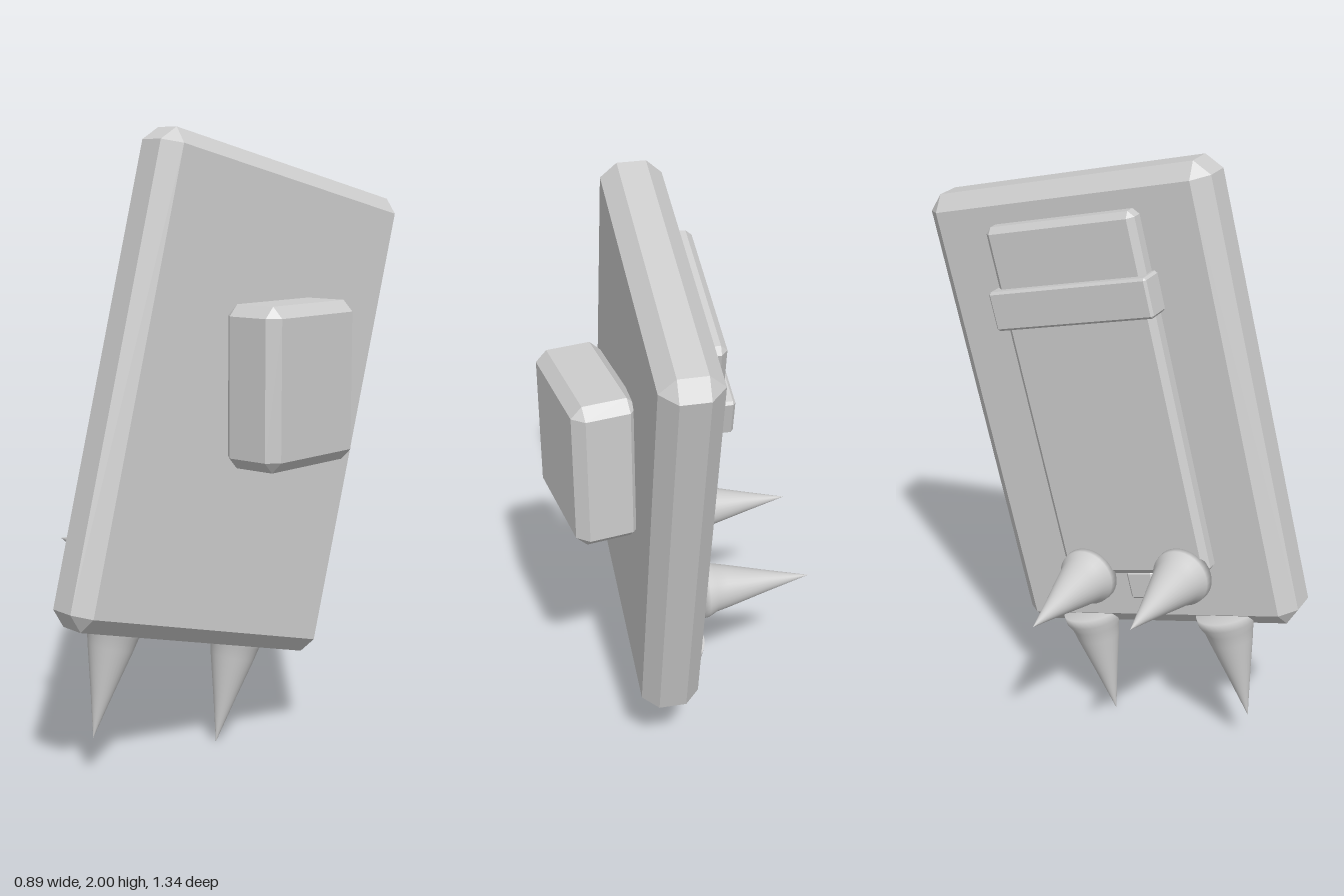
import * as THREE from 'three';
import { ConvexGeometry } from 'three/addons/geometries/ConvexGeometry.js';

const grey = new THREE.MeshStandardMaterial({ color: 0xcccccc });
grey.name = 'plain grey';

// Box with every edge cut by a chamfer c
function chamferBox(w, h, d, c) {
  const pts = [];
  for (const sx of [-1, 1]) for (const sy of [-1, 1]) for (const sz of [-1, 1]) {
    for (let axis = 0; axis < 3; axis++) {
      const k = [c, c, c];
      k[axis] = 0;
      pts.push(new THREE.Vector3(sx * (w / 2 - k[0]), sy * (h / 2 - k[1]), sz * (d / 2 - k[2])));
    }
  }
  return new ConvexGeometry(pts);
}

function add(parent, name, geometry, x, y, z) {
  const mesh = new THREE.Mesh(geometry, grey);
  mesh.name = name;
  mesh.position.set(x, y, z);
  parent.add(mesh);
  return mesh;
}

// Spike with its tip at the origin and a flared base at y = 0.39
function spikeGeometry() {
  const profile = [[0, 0], [0.037, 0.15], [0.073, 0.29], [0.082, 0.33], [0.097, 0.36], [0.1, 0.39], [0, 0.39]];
  return new THREE.LatheGeometry(profile.map(([r, y]) => new THREE.Vector2(r, y)), 32);
}

export function createModel() {
  const model = new THREE.Group();
  model.name = 'spikedSlab';

  // Tilted body: local x is the thickness, y the height, z the width
  const body = new THREE.Group();
  body.name = 'body';
  body.position.set(0.125, 1.145, 0);
  body.rotation.set(THREE.MathUtils.degToRad(-14), THREE.MathUtils.degToRad(-9.2), 0, 'YXZ');
  model.add(body);

  add(body, 'slab', chamferBox(0.19, 1.54, 1.025, 0.05), 0, 0, 0);

  // Raised panel with its cross band and bottom tab
  add(body, 'panel', chamferBox(0.1, 1.21, 0.54, 0.02), -0.1, 0.055, 0.005);
  add(body, 'band', chamferBox(0.1, 0.13, 0.575, 0.008), -0.13, 0.395, 0.005);
  add(body, 'tab', chamferBox(0.06, 0.1, 0.1, 0.008), -0.095, -0.6, 0);

  // Mirrored pairs of spikes: two below, two on the panel side
  const spike = spikeGeometry();
  for (const s of [-1, 1]) {
    add(body, 'legSpike', spike, -0.06, -1.113, s * 0.257);
    const arm = add(body, 'armSpike', spike, -0.53, -0.55, s * 0.178);
    arm.rotation.z = -Math.PI / 2;
  }

  // Upright block beside the slab
  add(model, 'sideBlock', chamferBox(0.21, 0.505, 0.42, 0.035), 0.34, 1.222, -0.022);

  return model;
}
